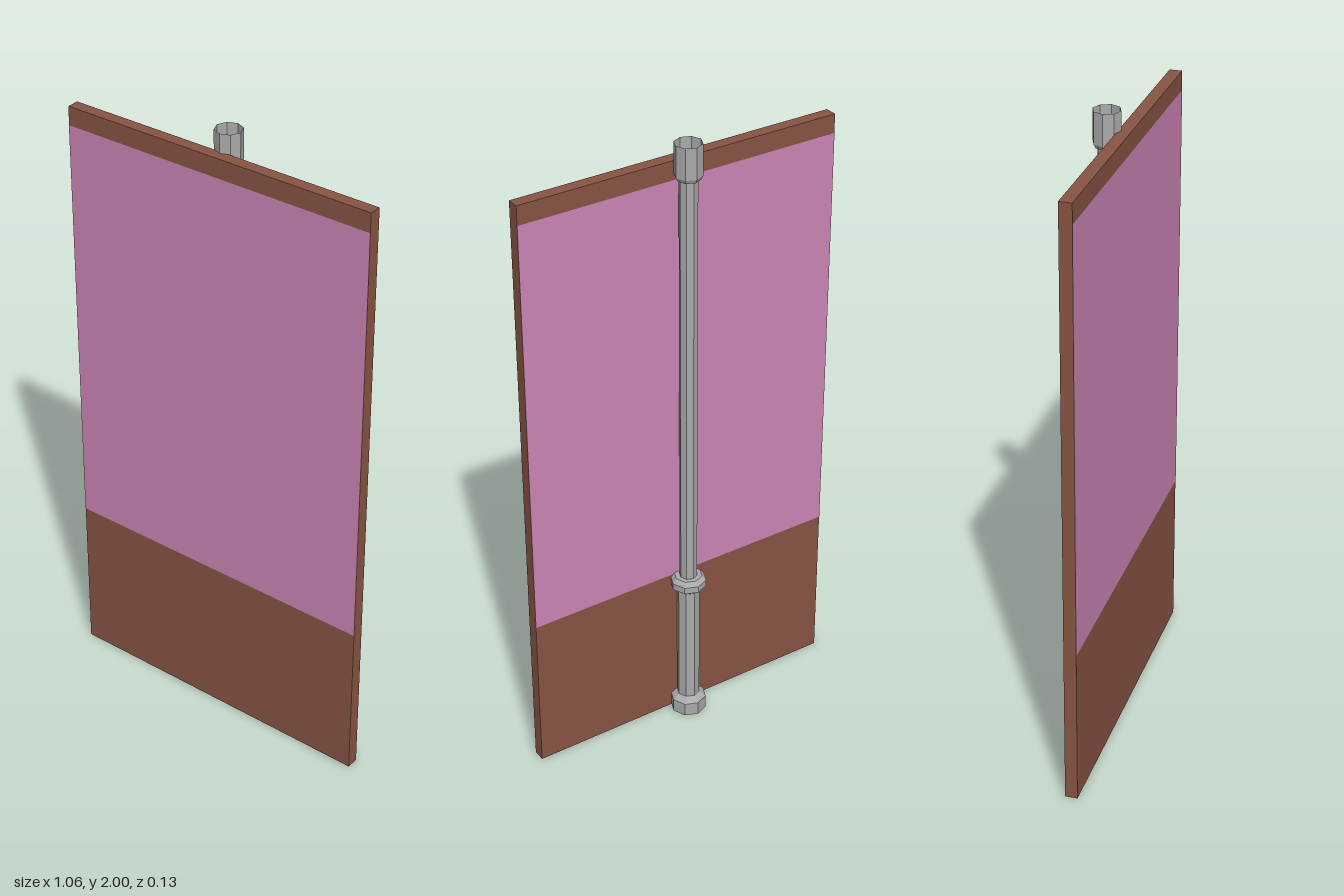
import * as THREE from 'three';

export function createModel() {
  const model = new THREE.Group();
  model.name = 'bannerOnPole';

  const brown = new THREE.MeshStandardMaterial({ color: 0x885444 });
  brown.name = 'brown';
  const pink = new THREE.MeshStandardMaterial({ color: 0xcc85b6 });
  pink.name = 'pink';
  const metal = new THREE.MeshStandardMaterial({ color: 0xaaaaaa, side: THREE.DoubleSide, flatShading: true });
  metal.name = 'grey metal';

  function add(name, geometry, material, x, y, z) {
    const mesh = new THREE.Mesh(geometry, material);
    mesh.name = name;
    mesh.position.set(x, y, z);
    model.add(mesh);
    return mesh;
  }

  // Flat board with a brown edge all round
  const width = 1.064, height = 1.94, back = 0.024, front = 0.063;
  add('board', new THREE.BoxGeometry(width, height, front - back), brown, 0, height / 2, (front + back) / 2);

  // Pink field on both faces
  const low = 0.52, high = 1.88;
  for (const [name, z, turn] of [['frontField', front + 0.001, 0], ['backField', back - 0.001, Math.PI]]) {
    const field = add(name, new THREE.PlaneGeometry(width, high - low), pink, 0, (low + high) / 2, z);
    field.rotation.y = turn;
  }

  // Hollow eight-sided pole sections, open at both ends
  const sections = {
    poleBase: [[0.057, 0], [0.057, 0.045], [0.036, 0.062], [0.036, 0.472]],
    poleRing: [[0.036, 0.472], [0.057, 0.488], [0.057, 0.51], [0.044, 0.524], [0.028, 0.524]],
    poleShaft: [[0.028, 0.524], [0.028, 1.89]],
    poleCollar: [[0.028, 1.89], [0.036, 1.89], [0.042, 1.902], [0.042, 2]],
  };
  for (const [name, profile] of Object.entries(sections)) {
    const points = profile.map(([r, y]) => new THREE.Vector2(r, y));
    add(name, new THREE.LatheGeometry(points, 8), metal, 0, 0, -0.008);
  }

  return model;
}
